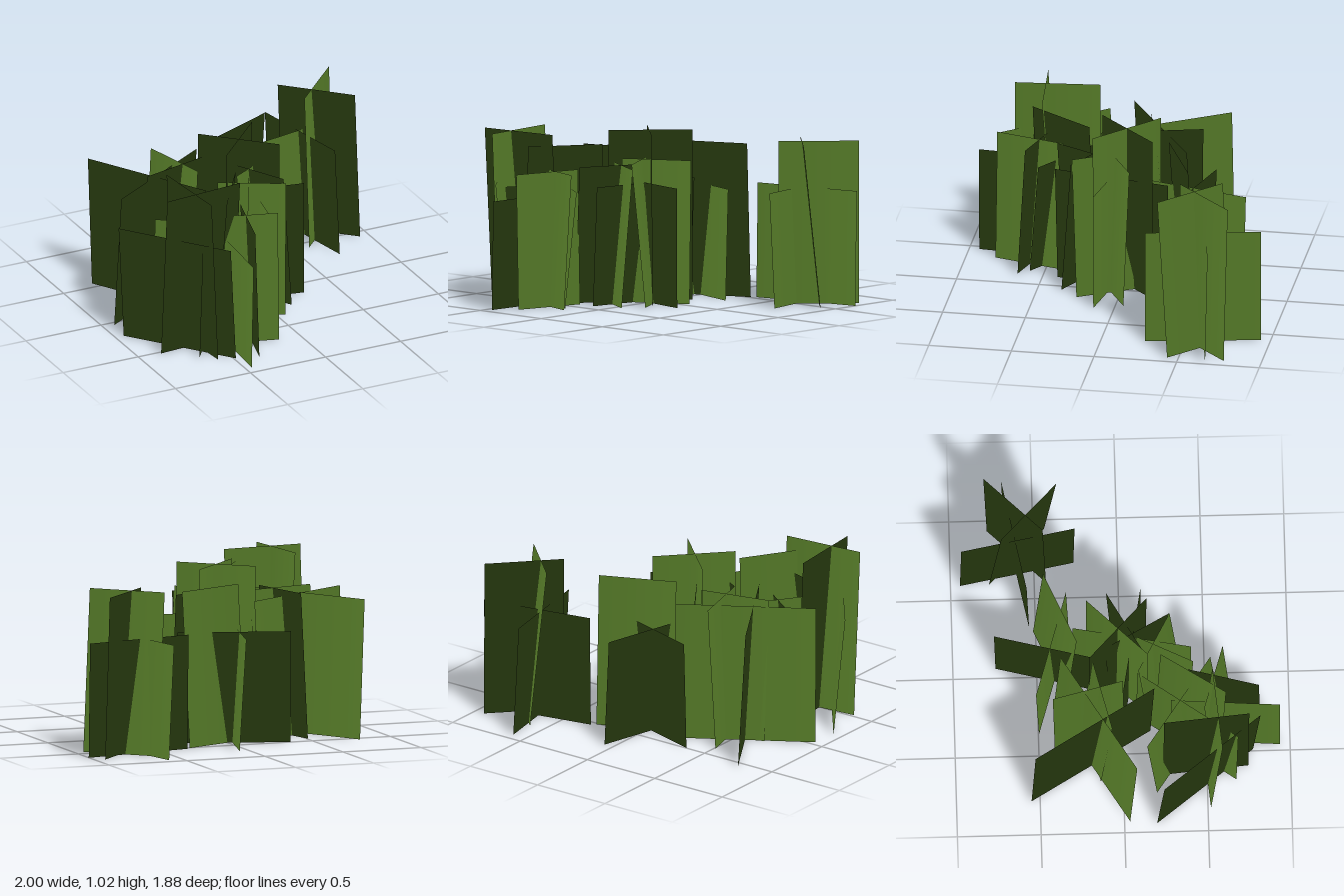
import * as THREE from 'three';

// Each blade card: centre line seen from above (x0, z0, x1, z1),
// sideways lean of its top edge, and height.
const clumps = {
  cornerLow: [[0.575, -0.94, 0.705, -0.26, 0.035, 0.69], [0.315, -0.545, 1, -0.68, -0.015, 0.69]],
  cornerTall: [[0.56, -0.735, 0.907, -0.397, 0.1, 0.975], [0.59, -0.44, 0.925, -0.785, -0.03, 0.975]],
  backLow: [[-0.13, -0.08, 0.042, -0.75, -0.04, 0.67], [-0.36, -0.505, 0.29, -0.31, -0.018, 0.67]],
  backSingle: [[-0.13, -0.295, 0.305, -0.485, 0.065, 0.935]],
  leftWide: [[-0.805, -0.54, -0.375, 0.18, 0.045, 0.84], [-0.915, 0.055, -0.195, -0.385, 0.05, 0.84]],
  leftNarrow: [[-0.665, -0.1, -0.24, -0.205, 0.07, 0.88], [-0.485, -0.41, -0.38, 0.01, -0.05, 0.88]],
  middleTall: [[-0.255, -0.195, 0.115, 0.155, 0.006, 1.025], [-0.245, 0.155, 0.105, -0.205, 0.006, 1.025]],
  middleWide: [[-0.11, 0.415, 0.025, -0.29, 0.04, 0.72], [-0.36, 0.005, 0.29, 0.125, 0.003, 0.72]],
  middleThick: [[-0.095, -0.105, 0.11, 0.27, 0.085, 0.86], [-0.15, 0.145, 0.22, -0.065, -0.038, 0.86]],
  frontThick: [[-0.29, 0.13, 0.07, 0.325, -0.07, 0.83], [-0.26, 0.41, -0.095, 0.075, 0.08, 0.83]],
  frontLeftTall: [[-0.853, 0.553, -0.345, 0.505, 0.07, 1.025], [-0.66, 0.24, -0.613, 0.75, 0.045, 1.025]],
  frontLeftSingle: [[-0.972, 0.215, -0.515, 0.8, 0.07, 0.735]],
  frontWide: [[-0.73, 0.17, -0.17, 0.56, -0.07, 0.695], [-0.67, 0.68, -0.25, 0.09, 0.02, 0.695]],
  frontDiagonal: [[-0.495, 0.6, -0.245, 0.215, 0.065, 0.95]],
  frontCross: [[-0.52, 0.51, -0.13, 0.63, -0.05, 0.81], [-0.365, 0.82, -0.255, 0.4, -0.025, 0.81]],
  frontSingle: [[-0.455, 0.94, -0.41, 0.29, 0.012, 0.655]],
};

// Flat four-sided card whose upper edge is pushed square to its width.
// Its front always faces the sky, and its soft normals point up and slightly outwards.
function leaningCard([x0, z0, x1, z1, lean, height]) {
  if (lean > 0) return leaningCard([x1, z1, x0, z0, -lean, height]);
  const dx = x1 - x0, dz = z1 - z0;
  const length = Math.hypot(dx, dz);
  const geometry = new THREE.PlaneGeometry(1, 1);
  const { position, normal } = geometry.attributes;
  const soft = new THREE.Vector3();
  for (let i = 0; i < position.count; i++) {
    const along = position.getX(i);
    const up = position.getY(i);
    const side = (up * lean) / length;
    position.setXYZ(i,
      x0 + dx * (along + 0.5) - dz * side,
      (up + 0.5) * height,
      z0 + dz * (along + 0.5) + dx * side);
    soft.set((dx * along) / length * 0.3, 1, (dz * along) / length * 0.3).normalize();
    normal.setXYZ(i, soft.x, soft.y, soft.z);
  }
  return geometry;
}

export function createModel() {
  const model = new THREE.Group();
  model.name = 'grassPatch';
  const green = new THREE.MeshStandardMaterial({ color: 0x4a6b22, side: THREE.DoubleSide });
  green.name = 'grassGreen';

  for (const [name, cards] of Object.entries(clumps)) {
    const clump = new THREE.Group();
    clump.name = name + 'Clump';
    for (const card of cards) {
      const mesh = new THREE.Mesh(leaningCard(card), green);
      mesh.name = 'grassCard';
      clump.add(mesh);
    }
    model.add(clump);
  }
  return model;
}
